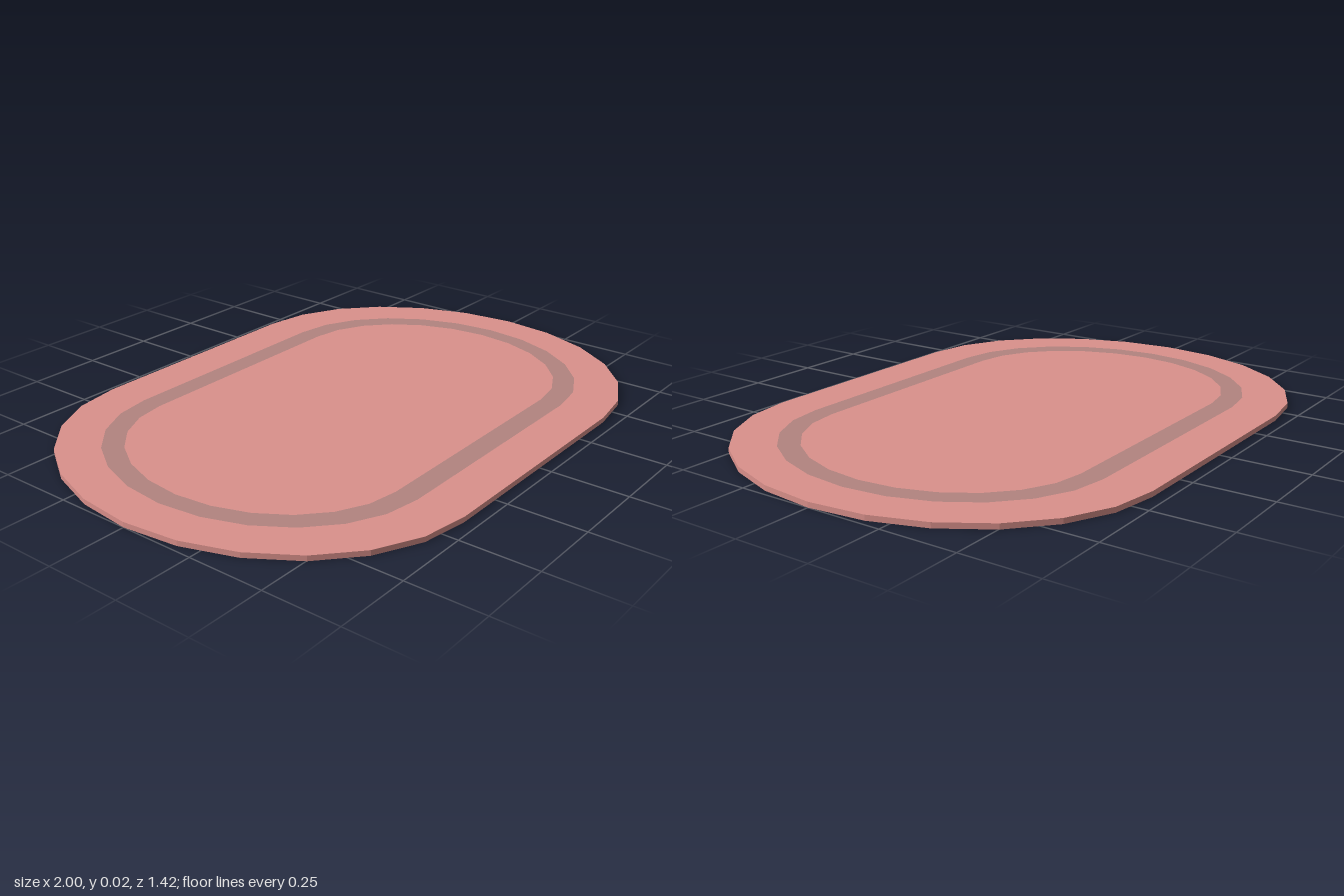
import * as THREE from 'three';

const STRAIGHT = 0.41; // half length of the straight long sides
const HEIGHT = 0.017;

// Oval outline: two half ellipses of 12 segments joined by straight sides
function ovalPoints(halfX, halfZ) {
  const points = [];
  for (const side of [1, -1]) {
    for (let i = 0; i <= 12; i++) {
      const a = -Math.PI / 2 + (i * Math.PI) / 12;
      points.push(new THREE.Vector2(
        side * (STRAIGHT + (halfX - STRAIGHT) * Math.cos(a)),
        side * halfZ * Math.sin(a)
      ));
    }
  }
  return points;
}

function part(name, geometry, color, y) {
  geometry.rotateX(-Math.PI / 2);
  const mesh = new THREE.Mesh(
    geometry,
    new THREE.MeshStandardMaterial({ color, flatShading: true })
  );
  mesh.name = name;
  mesh.position.y = y;
  return mesh;
}

export function createModel() {
  const group = new THREE.Group();
  group.name = 'ovalMat';

  // Flat mat body
  const body = new THREE.ExtrudeGeometry(new THREE.Shape(ovalPoints(1, 0.71)), {
    depth: HEIGHT,
    bevelEnabled: false,
  });
  group.add(part('matBody', body, 0xdb918c, 0));

  // Darker stripe lying on the top face
  const stripe = new THREE.Shape(ovalPoints(0.87, 0.555));
  stripe.holes.push(new THREE.Path(ovalPoints(0.805, 0.48)));
  group.add(part('borderStripe', new THREE.ShapeGeometry(stripe), 0xb38480, HEIGHT + 0.001));

  return group;
}
